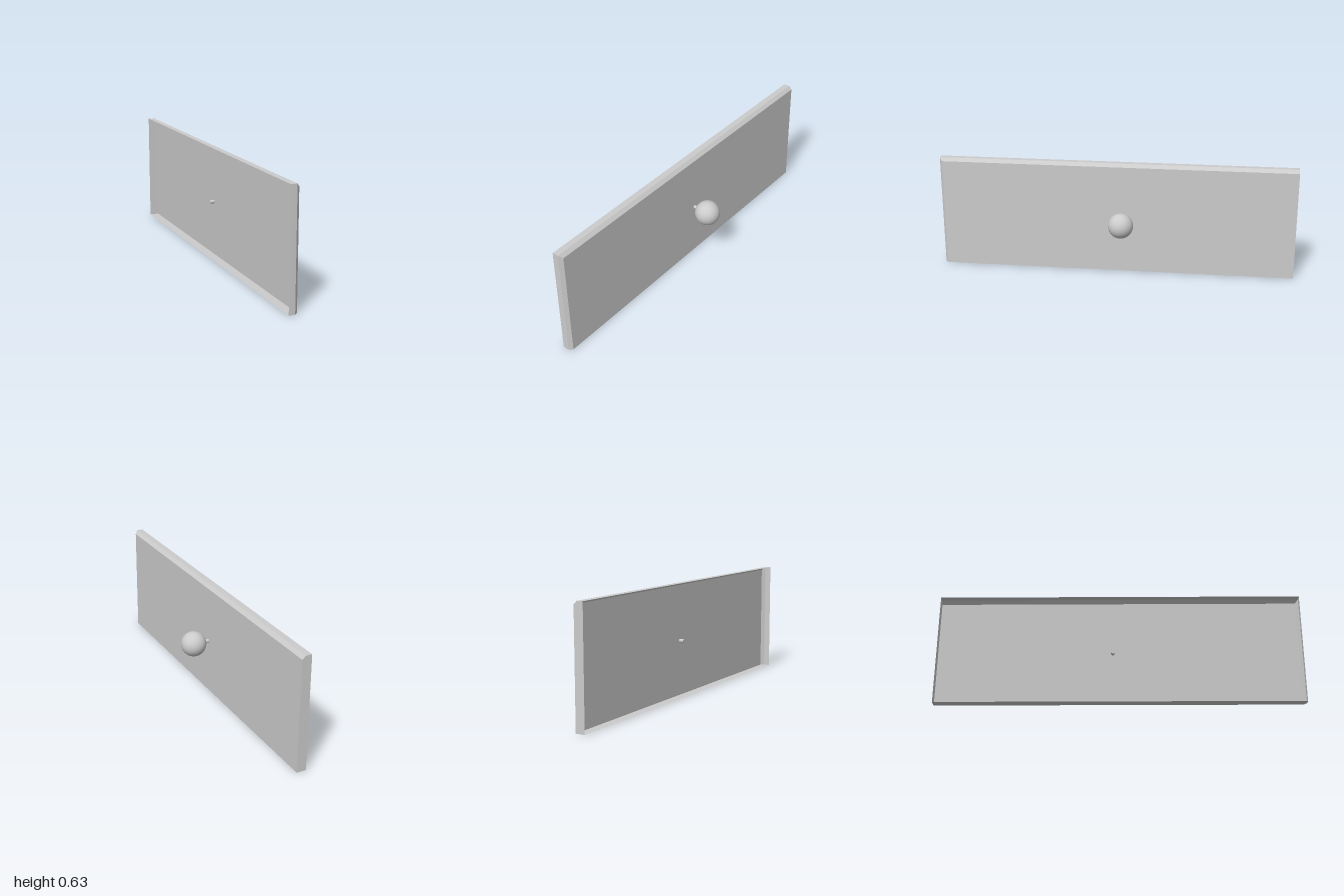
import * as THREE from 'three';

export function createModel() {
  const group = new THREE.Group();
  const sheet = new THREE.MeshStandardMaterial({ color: 0xcccccc, side: THREE.DoubleSide, flatShading: true });
  const smooth = new THREE.MeshStandardMaterial({ color: 0xcccccc });

  // Thin shell open at -x: three rectangular rings, bevelled at the top and the +z end only
  const ring = (x, top, end) => [[x, 0, -1], [x, top, -1], [x, top, end], [x, 0, end]];
  const rings = [ring(-0.107, 0.63, 1), ring(-0.073, 0.63, 1), ring(-0.055, 0.612, 0.983)];
  const pos = [];
  const quad = (a, b, c, d) => pos.push(...a, ...b, ...c, ...a, ...c, ...d);
  for (let r = 0; r < 2; r++) {
    for (let i = 0; i < 4; i++) {
      const j = (i + 1) % 4;
      quad(rings[r][i], rings[r][j], rings[r + 1][j], rings[r + 1][i]);
    }
  }
  quad(...rings[2]);
  const shell = new THREE.BufferGeometry();
  shell.setAttribute('position', new THREE.Float32BufferAttribute(pos, 3));
  shell.computeVertexNormals();
  const panel = new THREE.Mesh(shell, sheet);
  panel.name = 'drawerFront';
  group.add(panel);

  // Knob: a stem passing through the panel and a ball on its end
  const knob = new THREE.Group();
  knob.name = 'knob';
  knob.position.set(0.036, 0.304, -0.038);

  const stem = new THREE.Mesh(new THREE.CylinderGeometry(0.01, 0.01, 0.06, 24), smooth);
  stem.name = 'knobStem';
  stem.rotation.z = Math.PI / 2;
  stem.position.x = -0.086;

  const ball = new THREE.Mesh(new THREE.SphereGeometry(0.07, 40, 24), smooth);
  ball.name = 'knobBall';
  ball.rotation.z = Math.PI / 2;

  knob.add(stem, ball);
  group.add(knob);
  return group;
}
